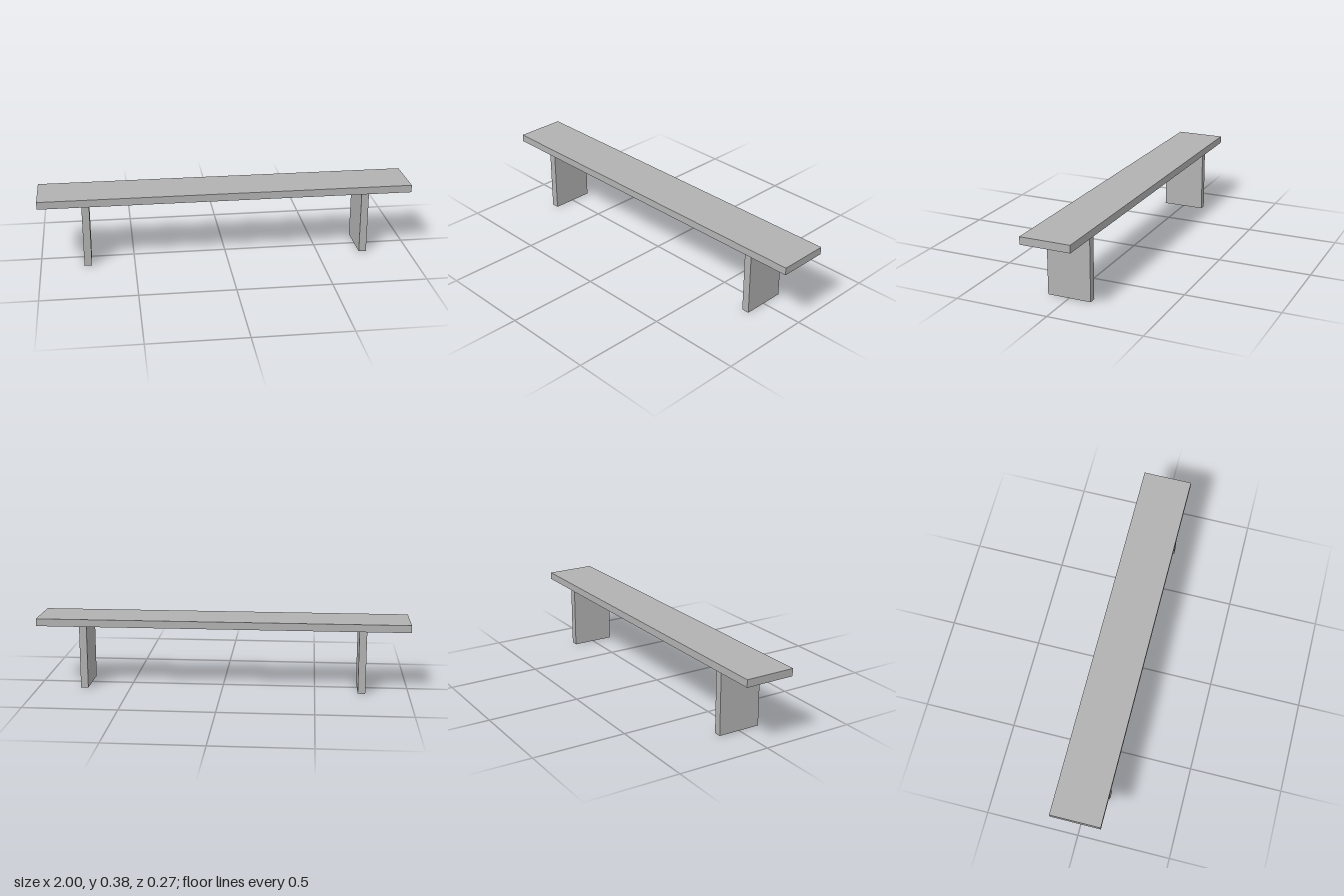
import * as THREE from 'three';

export function createModel() {
  const bench = new THREE.Group();
  bench.name = 'bench';

  const grey = new THREE.MeshStandardMaterial({ color: 0xb2b2b2 });
  grey.name = 'grey';

  const legHeight = 0.343;
  const thickness = 0.04;

  // Box standing on the given base height
  function addSlab(name, width, height, depth, x, baseY) {
    const slab = new THREE.Mesh(new THREE.BoxGeometry(width, height, depth), grey);
    slab.name = name;
    slab.position.set(x, baseY + height / 2, 0);
    bench.add(slab);
  }

  // Long seat plank
  addSlab('seat', 2, thickness, 0.267, 0, legHeight);

  // Mirrored slab legs, slightly narrower than the seat
  for (const side of [-1, 1]) {
    addSlab(side > 0 ? 'leftLeg' : 'rightLeg', thickness, legHeight, 0.234, side * 0.75, 0);
  }

  return bench;
}
